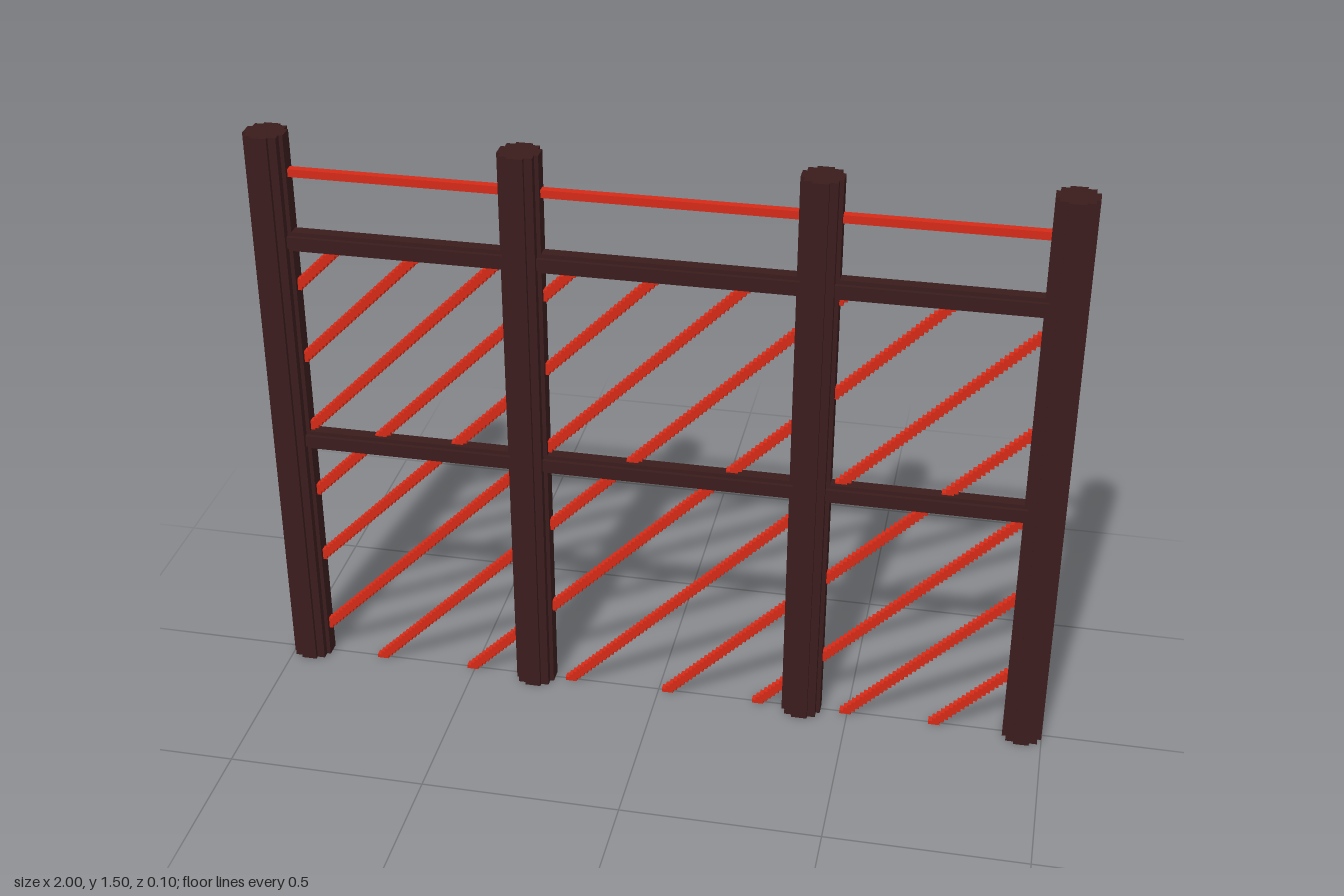
import * as THREE from 'three';

const V = 0.01; // step size of the blocky surface

// Extrudes a stepped round section, given the width of each row in steps.
function steppedBar(rows, length) {
  const right = [], left = [];
  rows.forEach((w, i) => {
    const y0 = (i - rows.length / 2) * V, x = (w / 2) * V;
    for (const y of [y0, y0 + V]) {
      right.push(new THREE.Vector2(x, y));
      left.unshift(new THREE.Vector2(-x, y));
    }
  });
  const geo = new THREE.ExtrudeGeometry(new THREE.Shape([...right, ...left]), { depth: length, bevelEnabled: false });
  return geo.translate(0, 0, -length / 2);
}

// Staircase strip following y = x + c between two heights.
function steppedBrace(c, y0, y1) {
  const right = [], left = [];
  const n = Math.round((y1 - y0) / V);
  for (let i = 0; i < n; i++) {
    const y = y0 + i * V, x = y + V / 2 - c;
    for (const h of [y, y + V]) {
      right.push(new THREE.Vector2(x + 1.5 * V, h));
      left.unshift(new THREE.Vector2(x - 1.5 * V, h));
    }
  }
  const geo = new THREE.ExtrudeGeometry(new THREE.Shape([...right, ...left]), { depth: 2 * V, bevelEnabled: false });
  return geo.translate(0, 0, -V);
}

export function createModel() {
  const model = new THREE.Group();
  const darkWood = new THREE.MeshStandardMaterial({ color: 0x3a1c1c });
  darkWood.name = 'darkWood';
  const redPaint = new THREE.MeshStandardMaterial({ color: 0xd42a16 });
  redPaint.name = 'redPaint';

  const add = (name, geo, mat, x = 0, y = 0, z = 0) => {
    const mesh = new THREE.Mesh(geo, mat);
    mesh.name = name;
    mesh.position.set(x, y, z);
    model.add(mesh);
  };

  // Upright posts
  const postX = [-0.95, -0.33, 0.38, 0.95];
  const postGeo = steppedBar([4, 8, 8, 10, 10, 10, 10, 8, 8, 4], 1.5).rotateX(-Math.PI / 2);
  postX.forEach(x => add('post', postGeo, darkWood, x, 0.75));

  // Offsets of the slanted bars, closer together towards the left end
  const offsets = [2.0, 1.8, 1.6, 1.41, 1.21, 0.99, 0.76, 0.51, 0.24, -0.02, -0.26, -0.49, -0.72];

  // Bays between neighbouring posts
  for (let i = 0; i < 3; i++) {
    const x0 = postX[i] + 0.04, x1 = postX[i + 1] - 0.04;
    const mid = (x0 + x1) / 2, len = x1 - x0;

    // Heavy rails and the thin top rail
    const railGeo = steppedBar([3, 5, 5, 5, 3], len).rotateY(Math.PI / 2);
    add('middleRail', railGeo, darkWood, mid, 0.67, V / 2);
    add('upperRail', railGeo, darkWood, mid, 1.225, V / 2);
    add('thinTopRail', steppedBar([2, 2], len).rotateY(Math.PI / 2), redPaint, mid, 1.4);

    // Slanted bars
    for (const c of offsets) {
      const y0 = Math.max(0, x0 + c), y1 = Math.min(1.21, x1 + c);
      if (y1 - y0 > 0.02) add('slantedBar', steppedBrace(c, y0, y1), redPaint);
    }
  }
  return model;
}
